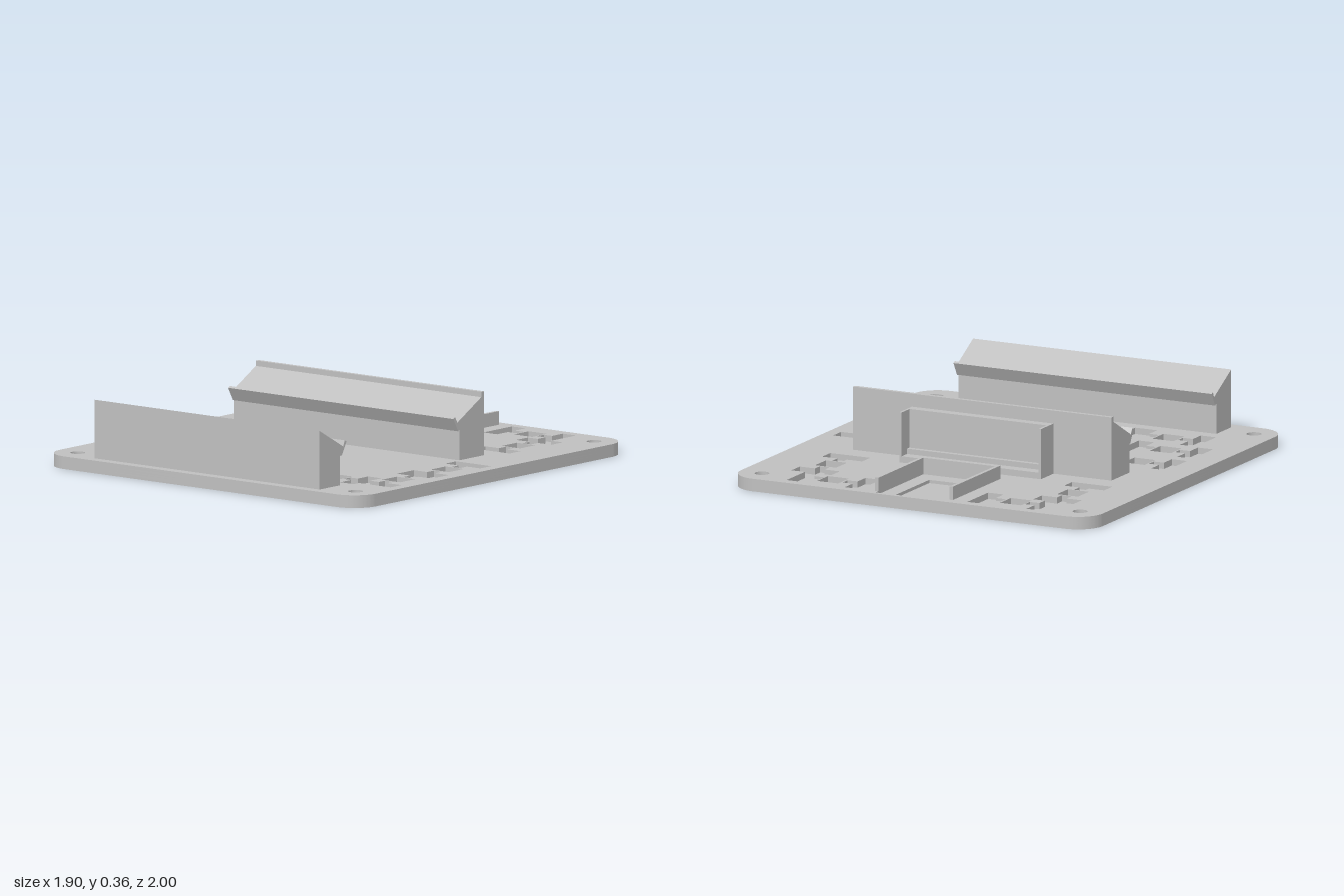
import * as THREE from 'three';
import { toCreasedNormals } from 'three/addons/utils/BufferGeometryUtils.js';

const grey = new THREE.MeshStandardMaterial({ color: 0xbfbfbf });
grey.name = 'plain grey';

const polygon = (pts, Type = THREE.Path) => new Type(pts.map(([x, y]) => new THREE.Vector2(x, y)));
const rect = (x0, z0, x1, z1) => polygon([[x0, z0], [x1, z0], [x1, z1], [x0, z1]]);
const circle = (x, z, r) => new THREE.Path().absarc(x, z, r, 0, Math.PI * 2);
const square = (x, z) => rect(x - 0.055, z - 0.055, x + 0.055, z + 0.055);

// Contact pocket: a bar with a narrow stem on either side; the stem runs along x, or along z if turned
function contact(cx, cz, half, before, after, turned = false) {
  const L = 0.105, s = 0.025, w = 0.052;
  const pts = [[-half, -L], [half, -L]];
  if (after) pts.push([half, -s], [half + w, -s], [half + w, s], [half, s]);
  pts.push([half, L], [-half, L]);
  if (before) pts.push([-half, s], [-half - w, s], [-half - w, -s], [-half, -s]);
  return polygon(pts.map(([u, v]) => (turned ? [cx + v, cz + u] : [cx + u, cz + v])));
}

function pockets() {
  const list = [];
  // two single pockets on the right-hand side
  for (const z of [0.145, 0.41]) {
    list.push(contact(-0.77, z, 0.04, false, true), square(-0.615, z), contact(-0.46, z, 0.04, true, false));
  }
  // row of four along the front
  list.push(contact(-0.67, 0.632, 0.04, false, true));
  for (const x of [-0.515, -0.172, 0.172, 0.515]) list.push(square(x, 0.632));
  for (const x of [-0.343, 0, 0.343]) list.push(contact(x, 0.632, 0.058, true, true));
  // corner contact linking the row and the column
  list.push(polygon([[0.58, 0.605], [0.625, 0.605], [0.625, 0.53], [0.705, 0.53], [0.705, 0.615], [0.76, 0.615],
    [0.76, 0.57], [0.81, 0.57], [0.81, 0.615], [0.895, 0.615], [0.895, 0.695], [0.705, 0.695],
    [0.705, 0.735], [0.625, 0.735], [0.625, 0.655], [0.58, 0.655]]));
  // column of two
  list.push(square(0.787, 0.145), square(0.787, 0.505));
  list.push(contact(0.787, -0.01, 0.04, false, true, true), contact(0.787, 0.325, 0.062, true, true, true));
  // mirrored groups at the back
  for (const m of [-1, 1]) {
    list.push(contact(m * 0.322, -0.848, 0.041, m < 0, m > 0), square(m * 0.48, -0.845), square(m * 0.635, -0.567));
    list.push(contact(m * 0.635, -0.413, 0.041, true, false, true));
    list.push(polygon([[0.67, -0.95], [0.59, -0.95], [0.59, -0.87], [0.54, -0.87], [0.54, -0.82], [0.59, -0.82],
      [0.59, -0.765], [0.53, -0.765], [0.53, -0.68], [0.61, -0.68], [0.61, -0.63], [0.66, -0.63],
      [0.66, -0.68], [0.74, -0.68], [0.74, -0.765], [0.67, -0.765]].map(([x, z]) => [m * x, z])));
  }
  return list;
}
// the back contacts face outward, so their stems point away from the centre line

export function createModel() {
  const model = new THREE.Group();
  const add = (name, geometry) => {
    const mesh = new THREE.Mesh(geometry, grey);
    mesh.name = name;
    model.add(mesh);
    return mesh;
  };
  const box = (name, x0, x1, y0, y1, z0, z1) => add(name, new THREE.BoxGeometry(x1 - x0, y1 - y0, z1 - z0)
    .translate((x0 + x1) / 2, (y0 + y1) / 2, (z0 + z1) / 2));

  const corners = [[-1, -1], [1, -1], [-1, 1], [1, 1]].map(([a, b]) => [a * 0.835, b * 0.88]);

  // Base plate, in layers that leave the pockets open
  function plateLayer(name, y0, y1, holeRadius, holes) {
    const w = 0.95, d = 1, r = 0.13, s = new THREE.Shape();
    s.absarc(w - r, d - r, r, 0, Math.PI / 2);
    s.absarc(r - w, d - r, r, Math.PI / 2, Math.PI);
    s.absarc(r - w, r - d, r, Math.PI, Math.PI * 1.5);
    s.absarc(w - r, r - d, r, Math.PI * 1.5, Math.PI * 2);
    s.closePath();
    s.holes.push(...corners.map(([x, z]) => circle(x, z, holeRadius)), ...holes);
    const g = new THREE.ExtrudeGeometry(s, { depth: y1 - y0, bevelEnabled: false, curveSegments: 14 });
    add(name, toCreasedNormals(g.rotateX(Math.PI / 2).translate(0, y1, 0), 0.5));
  }
  const feet = [];
  for (const x of [-0.503, 0.82]) for (const z of [-0.373, 0.373]) feet.push(circle(x, z, 0.105));
  const trayRecess = rect(-0.187, -0.98, 0.187, -0.495);
  const traySlot = rect(-0.11, -0.95, 0.11, -0.585);
  plateLayer('plateUnderside', 0, 0.02, 0.06, feet);
  plateLayer('plateCore', 0.02, 0.03, 0.06, []);
  plateLayer('platePocketLayer', 0.03, 0.045, 0.035, [...pockets(), traySlot]);
  plateLayer('plateTop', 0.045, 0.06, 0.035, [...pockets(), trayRecess]);

  // Countersinks under the screw holes
  const sink = [new THREE.Vector2(0.035, 0.03), new THREE.Vector2(0.06, 0)];
  for (const [x, z] of corners) add('countersink', new THREE.LatheGeometry(sink, 28).translate(x, 0, z));

  // Long sloped rails, from profiles in z and y
  const rail = (name, profile) => add(name,
    new THREE.ExtrudeGeometry(polygon(profile, THREE.Shape), { depth: 1.355, bevelEnabled: false })
      .rotateY(-Math.PI / 2).translate(0.676, 0, 0));
  rail('frontRail', [[0.95, 0.06], [0.95, 0.337], [0.776, 0.24], [0.765, 0.268], [0.752, 0.261],
    [0.787, 0.198], [0.8, 0.205], [0.8, 0.06]]);
  rail('middleRail', [[-0.08, 0.06], [-0.08, 0.205], [-0.072, 0.198], [-0.036, 0.261], [-0.049, 0.268],
    [-0.066, 0.24], [-0.242, 0.337], [-0.242, 0.362], [-0.263, 0.362], [-0.263, 0.06]]);

  // Shallow holder on the back of the middle rail
  box('holderBack', -0.375, 0.368, 0.06, 0.3, -0.31, -0.26);
  box('holderLeftWall', 0.356, 0.368, 0.06, 0.3, -0.39, -0.31);
  box('holderRightWall', -0.375, -0.363, 0.06, 0.3, -0.39, -0.31);
  box('holderSill', -0.363, 0.356, 0.06, 0.09, -0.39, -0.31);
  box('holderStep', -0.363, 0.356, 0.09, 0.115, -0.335, -0.31);

  // Three-sided tray at the back edge
  box('trayLeftWall', 0.187, 0.204, 0.06, 0.124, -0.952, -0.47);
  box('trayRightWall', -0.204, -0.187, 0.06, 0.124, -0.952, -0.47);
  box('trayFrontWall', -0.187, 0.187, 0.06, 0.124, -0.495, -0.47);

  return model;
}
